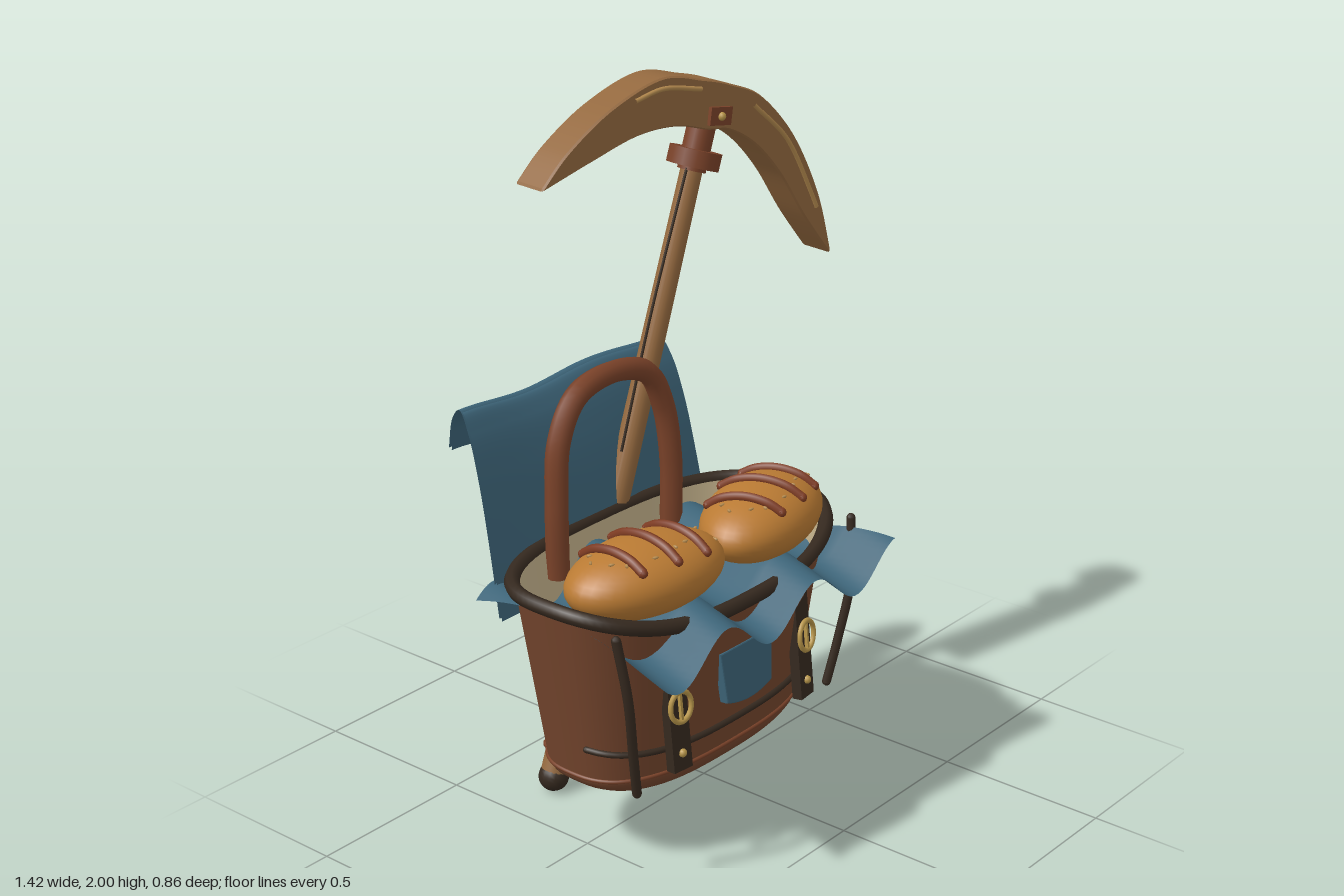
import * as THREE from 'three';
import { ParametricGeometry } from 'three/addons/geometries/ParametricGeometry.js';

const V = (x, y, z) => new THREE.Vector3(x, y, z);
const mat = (color, side = THREE.FrontSide) => new THREE.MeshStandardMaterial({ color, side, roughness: 0.8 });
const leather = mat(0x74452d, THREE.DoubleSide), strapLeather = mat(0x35291f), trim = mat(0x7a4229);
const wood = mat(0x94693f), woodLight = mat(0xb58b4f), crust = mat(0xb97a33), score = mat(0x7d3b22);
const cloth = mat(0x3d6478, THREE.DoubleSide), gold = mat(0xb8964a), lining = mat(0xc2b08a, THREE.DoubleSide);

function add(parent, name, geometry, material, x = 0, y = 0, z = 0) {
  const mesh = new THREE.Mesh(geometry, material);
  mesh.name = name;
  mesh.position.set(x, y, z);
  parent.add(mesh);
  return mesh;
}
function tube(points, radius, closed = false, segments = 32) {
  return new THREE.TubeGeometry(new THREE.CatmullRomCurve3(points, closed), segments, radius, 8, closed);
}
// Tube with rounded ends
function cord(parent, name, points, radius, material) {
  add(parent, name, tube(points, radius), material);
  for (const p of [points[0], points[points.length - 1]])
    add(parent, name + 'End', new THREE.SphereGeometry(radius, 8, 6), material, p.x, p.y, p.z);
}

// Basket surface: squarish oval, wider toward the top
const CX = -0.18, CZ = 0.045;
const power = (c, e) => Math.sign(c) * Math.pow(Math.abs(c), e);
function onBasket(t, y, grow = 0, scale = 1) {
  const k = (y - 0.28) / 0.5, kk = Math.max(k, 0);
  return V(CX + scale * (0.425 + 0.08 * kk + grow) * power(Math.cos(t), 0.74), y,
    CZ + scale * (0.212 + 0.055 * kk + grow) * power(Math.sin(t), 0.74));
}
const rimY = t => 0.80 - 0.08 * Math.max(0, Math.sin(t)) ** 2;
// Front surface depth at a given x and y
function frontZ(x, y) {
  const k = Math.max(0, (y - 0.28) / 0.5), n = 2 / 0.74;
  const q = Math.abs(x - CX) / (0.425 + 0.08 * k);
  return CZ + (0.212 + 0.055 * k) * Math.pow(Math.max(0, 1 - q ** n), 1 / n);
}

function makeBasket() {
  const g = new THREE.Group();
  g.name = 'basket';
  const wall = (grow, bottom) => new ParametricGeometry((u, v, p) => {
    const t = -u * Math.PI * 2;
    p.copy(onBasket(t, bottom + (rimY(t) - bottom) * v, grow));
  }, 72, 12);
  add(g, 'basketWall', wall(0, 0.28), leather);
  add(g, 'basketLining', wall(-0.015, 0.5), lining);
  // Rounded underside
  add(g, 'basketBase', new ParametricGeometry((u, v, p) => {
    const a = v * Math.PI / 2;
    p.copy(onBasket(-u * Math.PI * 2, 0.28 - 0.1 * Math.cos(a), 0, Math.pow(Math.sin(a), 0.8)));
  }, 72, 12), leather);
  const ring = (y, grow, n = 64) => Array.from({ length: n }, (_, i) => {
    const t = i / n * Math.PI * 2;
    return onBasket(t, y ?? rimY(t), grow);
  });
  add(g, 'baseSeam', tube(ring(0.28, 0), 0.006, true, 96), trim);
  add(g, 'rim', tube(ring(null, 0.005), 0.021, true, 128), strapLeather);

  // Front belt cord and the loose cords at the corners
  const belt = [];
  for (let i = 0; i <= 16; i++) {
    const t = Math.PI * (0.06 + 0.88 * i / 16);
    belt.push(onBasket(t, 0.385 - 0.03 * Math.sin(t), 0.004));
  }
  cord(g, 'beltCord', belt, 0.009, strapLeather);
  for (const s of [-1, 1])
    cord(g, 'cornerCord', [V(CX + s * 0.495, 0.77, 0.27), V(CX + s * 0.475, 0.6, 0.29),
      V(CX + s * 0.44, 0.42, 0.275), V(CX + s * 0.41, 0.29, 0.26)], 0.013, strapLeather);

  // Buckled straps
  for (const x of [-0.445, 0.09]) {
    const s = new THREE.Group();
    s.name = 'buckleStrap';
    s.position.set(x, 0.475, frontZ(x, 0.475) + 0.012);
    s.rotation.set(-0.1, x < CX ? -0.12 : 0.12, 0);
    g.add(s);
    add(s, 'strap', new THREE.BoxGeometry(0.065, 0.33, 0.03), strapLeather);
    add(s, 'buckleRing', new THREE.TorusGeometry(0.037, 0.007, 8, 24), gold, 0, 0.02, 0.025).scale.y = 1.15;
    add(s, 'bucklePin', new THREE.BoxGeometry(0.008, 0.075, 0.01), gold, 0, 0.02, 0.024);
    add(s, 'stud', new THREE.SphereGeometry(0.012, 10, 8), gold, 0, -0.115, 0.016);
  }

  // Cloth pocket patch
  const patch = new THREE.Shape();
  patch.moveTo(-0.105, 0.085);
  patch.lineTo(0.105, 0.085);
  patch.lineTo(0.092, -0.055);
  patch.quadraticCurveTo(0, -0.09, -0.092, -0.055);
  const pocket = add(g, 'pocketPatch', new THREE.ExtrudeGeometry(patch,
    { depth: 0.02, bevelSize: 0.004, bevelThickness: 0.004, bevelSegments: 2 }), cloth, -0.178, 0.495, frontZ(-0.178, 0.495) - 0.002);
  pocket.rotation.x = -0.1;

  // Carrying arch
  add(g, 'carryHandle', tube([V(-0.41, 0.72, -0.17), V(-0.41, 0.92, -0.17), V(-0.385, 1.1, -0.18),
    V(-0.31, 1.205, -0.185), V(-0.155, 1.23, -0.19), V(-0.02, 1.19, -0.185), V(0.04, 1.08, -0.18),
    V(0.06, 0.92, -0.17), V(0.06, 0.72, -0.17)], 0.032, false, 64), trim);
  return g;
}

function makeCloths() {
  const g = new THREE.Group();
  g.name = 'cloths';
  // Rippled cloth laid across the opening
  add(g, 'rippledCloth', new ParametricGeometry((u, v, p) => {
    const x = -0.66 + 0.97 * u, z = 0.425 - 0.66 * v;
    const mid = 0.72 - 0.02 * Math.max(0, z - 0.25) / 0.175 - 0.02 * v;
    p.set(x, mid - 0.055 * Math.cos((x + 0.2 + 0.3 * (z - 0.31)) * Math.PI * 2 / 0.37), z);
  }, 64, 24), cloth);
  // Raised flap at the back, folding over at the top
  const profile = new THREE.CatmullRomCurve3([V(0, 0.66, -0.2), V(0, 0.85, -0.235), V(0, 1.03, -0.275),
    V(0, 1.15, -0.315), V(0, 1.2, -0.35), V(0, 1.165, -0.385), V(0, 1.07, -0.41)]);
  const flap = inset => new ParametricGeometry((u, v, p) => {
    const c = profile.getPoint(v), half = 0.43 - 0.045 * v;
    const bulge = Math.sin(u * Math.PI) * v;
    p.set(CX + (u * 2 - 1) * half, c.y + 0.012 * v * Math.cos(u * Math.PI * 3) - 0.012 * bulge + inset * -0.5, c.z - 0.025 * bulge + inset);
  }, 32, 32);
  add(g, 'backFlap', flap(0), cloth);
  add(g, 'backFlapInside', flap(0.01), cloth);
  return g;
}

function makeLoaf(x, z, turn) {
  const g = new THREE.Group();
  g.name = 'breadLoaf';
  g.position.set(x, 0.83, z);
  g.rotation.y = turn;
  const [a, b, c] = [0.248, 0.102, 0.148];
  const top = (px, pz, lift = 0) => V(px, b * Math.sqrt(Math.max(0, 1 - (px / a) ** 2 - (pz / c) ** 2)) + lift, pz);
  add(g, 'loaf', new THREE.SphereGeometry(1, 36, 24), crust).scale.set(a, b, c);
  for (const sx of [-0.11, 0, 0.11]) {
    const w = 0.78 * c * Math.sqrt(1 - (sx / a) ** 2);
    cord(g, 'crustScore', [-1, -0.6, 0, 0.6, 1].map(k => top(sx + k * 0.012, k * w, 0.004)), 0.014, score);
  }
  // Scattered seeds
  for (let i = 0; i < 14; i++) {
    const r = 0.5 + 0.4 * ((i * 0.37) % 1), p = top(a * r * Math.cos(i * 2.4), c * r * Math.sin(i * 2.4), 0.001);
    const seed = add(g, 'seed', new THREE.SphereGeometry(0.007, 6, 4), woodLight, p.x, p.y, p.z);
    seed.scale.set(1.4, 0.6, 0.7);
    seed.rotation.y = i;
  }
  return g;
}

function makePickaxe() {
  const g = new THREE.Group();
  g.name = 'pickaxe';
  // Slanted shaft, parts placed along its own length
  const shaft = new THREE.Group();
  shaft.name = 'shaft';
  shaft.position.set(-0.353, 0, -0.272);
  const dir = V(0.62, 1.86, 0.055);
  const len = dir.length();
  shaft.quaternion.setFromUnitVectors(V(0, 1, 0), dir.normalize());
  g.add(shaft);
  add(shaft, 'pole', new THREE.CylinderGeometry(0.03, 0.04, len - 0.05, 20), wood, 0, len / 2 + 0.025, 0);
  add(shaft, 'endKnob', new THREE.SphereGeometry(0.044, 16, 12), strapLeather, 0, 0.045, 0);
  for (let i = 0; i < 15; i++) {
    const wrap = add(shaft, 'gripWrap', new THREE.TorusGeometry(0.042, 0.009, 8, 20), trim, 0, 0.13 + i * 0.022, 0);
    wrap.rotation.x = Math.PI / 2 + 0.12;
  }
  add(shaft, 'collar', new THREE.CylinderGeometry(0.074, 0.074, 0.048, 24), trim, 0, 1.83, 0);
  add(shaft, 'collarNeck', new THREE.CylinderGeometry(0.04, 0.04, 0.13, 20), trim, 0, 1.86, 0);
  add(shaft, 'string', tube([V(-0.035, 1.8, 0.01), V(-0.047, 1.4, 0.01), V(-0.04, 1.0, 0.01)], 0.004), strapLeather);

  // Curved head
  const head = new THREE.Group();
  head.name = 'pickHead';
  head.position.set(0.165, 0, -0.217);
  head.rotation.y = -0.112;
  g.add(head);
  const pts = list => list.map(([x, y]) => new THREE.Vector2(x - 0.165, y));
  const outline = new THREE.Shape();
  outline.moveTo(-0.535, 1.78);
  outline.splineThru(pts([[-0.28, 1.86], [-0.13, 1.945], [0.05, 1.995], [0.2, 1.965], [0.3, 1.935],
    [0.42, 1.88], [0.55, 1.745], [0.65, 1.56], [0.703, 1.385]]));
  outline.lineTo(0.538, 1.375);
  outline.splineThru(pts([[0.6, 1.505], [0.5, 1.65], [0.4, 1.755], [0.3, 1.815], [0.22, 1.83],
    [0.1, 1.862], [-0.04, 1.862], [-0.2, 1.825], [-0.37, 1.78]]));
  add(head, 'blade', new THREE.ExtrudeGeometry(outline, { depth: 0.095, curveSegments: 24,
    bevelSize: 0.004, bevelThickness: 0.006, bevelSegments: 1 }), wood, 0, 0, -0.0475);
  const streak = list => tube(pts(list).map(p => V(p.x, p.y, 0.053)), 0.007);
  add(head, 'edgeStreak', streak([[-0.05, 1.955], [0.05, 1.97], [0.19, 1.945]]), woodLight);
  add(head, 'edgeStreak', streak([[0.39, 1.865], [0.52, 1.745], [0.62, 1.57], [0.645, 1.52]]), woodLight);
  const wedge = add(head, 'wedge', new THREE.BoxGeometry(0.08, 0.05, 0.13), trim, 0.09, 1.86, 0);
  wedge.rotation.z = -0.15;
  add(head, 'wedgePin', new THREE.SphereGeometry(0.012, 10, 8), gold, 0.09, 1.86, 0.066);
  return g;
}

export function createModel() {
  const model = new THREE.Group();
  model.name = 'basketWithPickaxe';
  model.add(makeBasket(), makeCloths(), makeLoaf(-0.42, 0.148, -0.14), makeLoaf(0.067, 0.148, 0.24), makePickaxe());
  return model;
}
